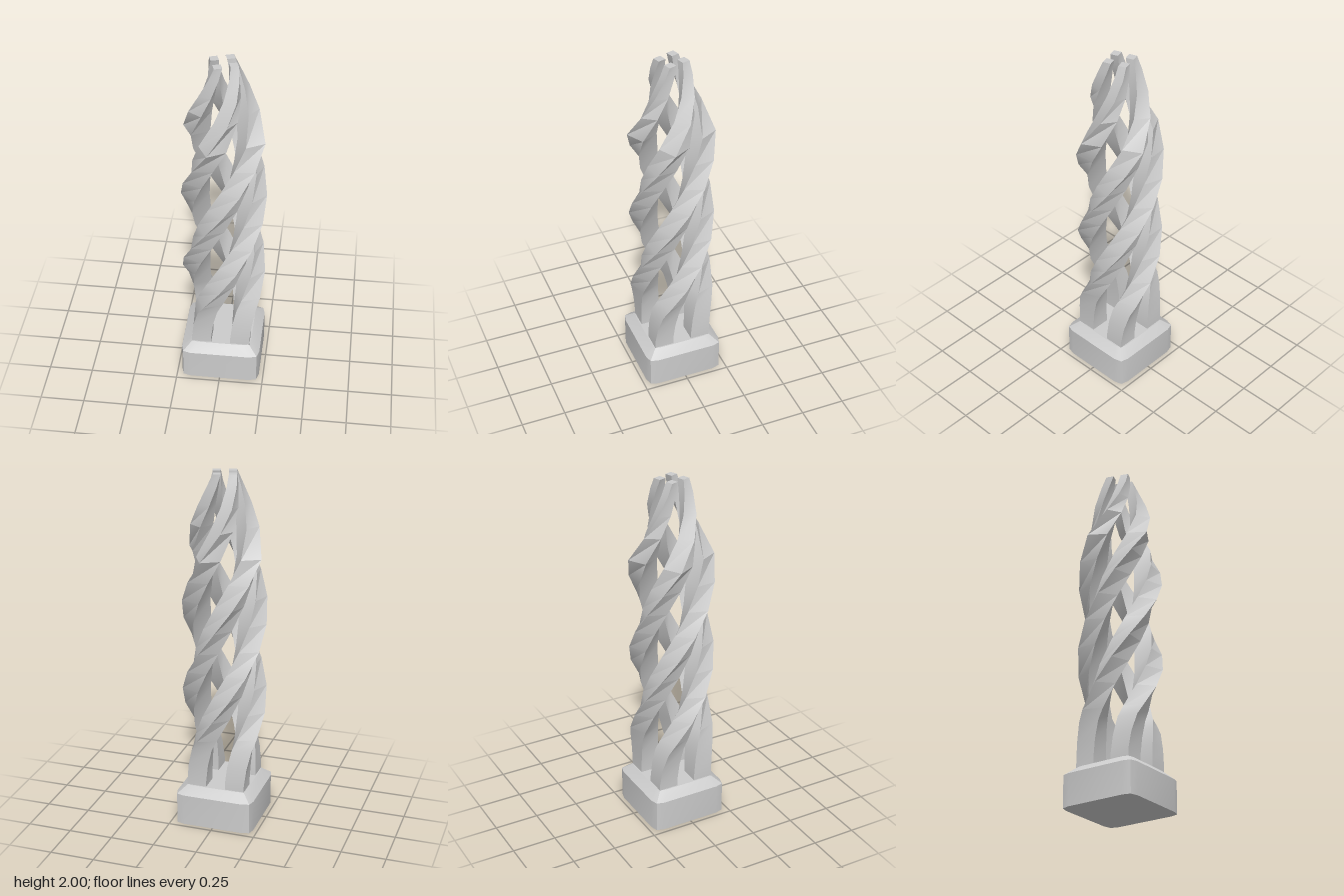
import * as THREE from 'three';
import { toCreasedNormals } from 'three/addons/utils/BufferGeometryUtils.js';

const material = new THREE.MeshStandardMaterial({ color: 0xcccccc });
const UP = new THREE.Vector3(0, 1, 0);

// Skins a stack of matching loops (counter-clockwise from above) and caps both ends.
function loft(loops) {
  const pos = [];
  const tri = (...pts) => pts.forEach((p) => pos.push(p.x, p.y, p.z));
  const n = loops[0].length;
  for (let r = 0; r < loops.length - 1; r++) {
    const lo = loops[r], hi = loops[r + 1];
    for (let i = 0; i < n; i++) {
      const j = (i + 1) % n;
      tri(lo[i], lo[j], hi[j]);
      tri(lo[i], hi[j], hi[i]);
    }
  }
  const bottom = loops[0], top = loops[loops.length - 1];
  for (let i = 1; i < n - 1; i++) {
    tri(bottom[0], bottom[i + 1], bottom[i]);
    tri(top[0], top[i], top[i + 1]);
  }
  const geometry = new THREE.BufferGeometry();
  geometry.setAttribute('position', new THREE.Float32BufferAttribute(pos, 3));
  return toCreasedNormals(geometry, 0.5);
}

// Square block with softened corners and a bevelled top
function baseGeometry() {
  const corner = [[0.17, 0.225], [0.213, 0.213], [0.225, 0.17]];
  const ring = (y, scale) => {
    const loop = [];
    for (let k = 0; k < 4; k++) {
      for (const [x, z] of corner) {
        loop.push(new THREE.Vector3(x * scale, y, z * scale).applyAxisAngle(UP, k * Math.PI / 2));
      }
    }
    return loop;
  };
  return loft([ring(0, 1), ring(0.18, 1), ring(0.225, 0.77)]);
}

// Square bar that winds around the central axis and narrows towards the top
function strandGeometry() {
  const square = [[0.166, 0.166], [0.166, 0.055], [0.055, 0.055], [0.055, 0.166]];
  const heights = [0.2, 0.26, 0.36, 0.46, 0.52, 0.65, 0.78, 0.91, 1.04, 1.17,
    1.3, 1.43, 1.56, 1.71, 1.83, 1.935, 2];
  const startTurns = [0, 0, 4, 12];
  const taperStart = 1.56;
  return loft(heights.map((y, i) => {
    const turn = startTurns[i] ?? 45 + 180 * (y - 0.65);
    const scale = 1 - 0.61 * Math.max(0, (y - taperStart) / (2 - taperStart));
    return square.map(([x, z]) => new THREE.Vector3(x * scale, y, z * scale)
      .applyAxisAngle(UP, THREE.MathUtils.degToRad(turn)));
  }));
}

export function createModel() {
  const model = new THREE.Group();
  model.name = 'twistedColumn';

  const base = new THREE.Mesh(baseGeometry(), material);
  base.name = 'base';
  model.add(base);

  // Four identical strands, a quarter turn apart
  const geometry = strandGeometry();
  for (let k = 0; k < 4; k++) {
    const strand = new THREE.Mesh(geometry, material);
    strand.name = `twistedStrand${k + 1}`;
    strand.rotation.y = k * Math.PI / 2;
    model.add(strand);
  }
  return model;
}
